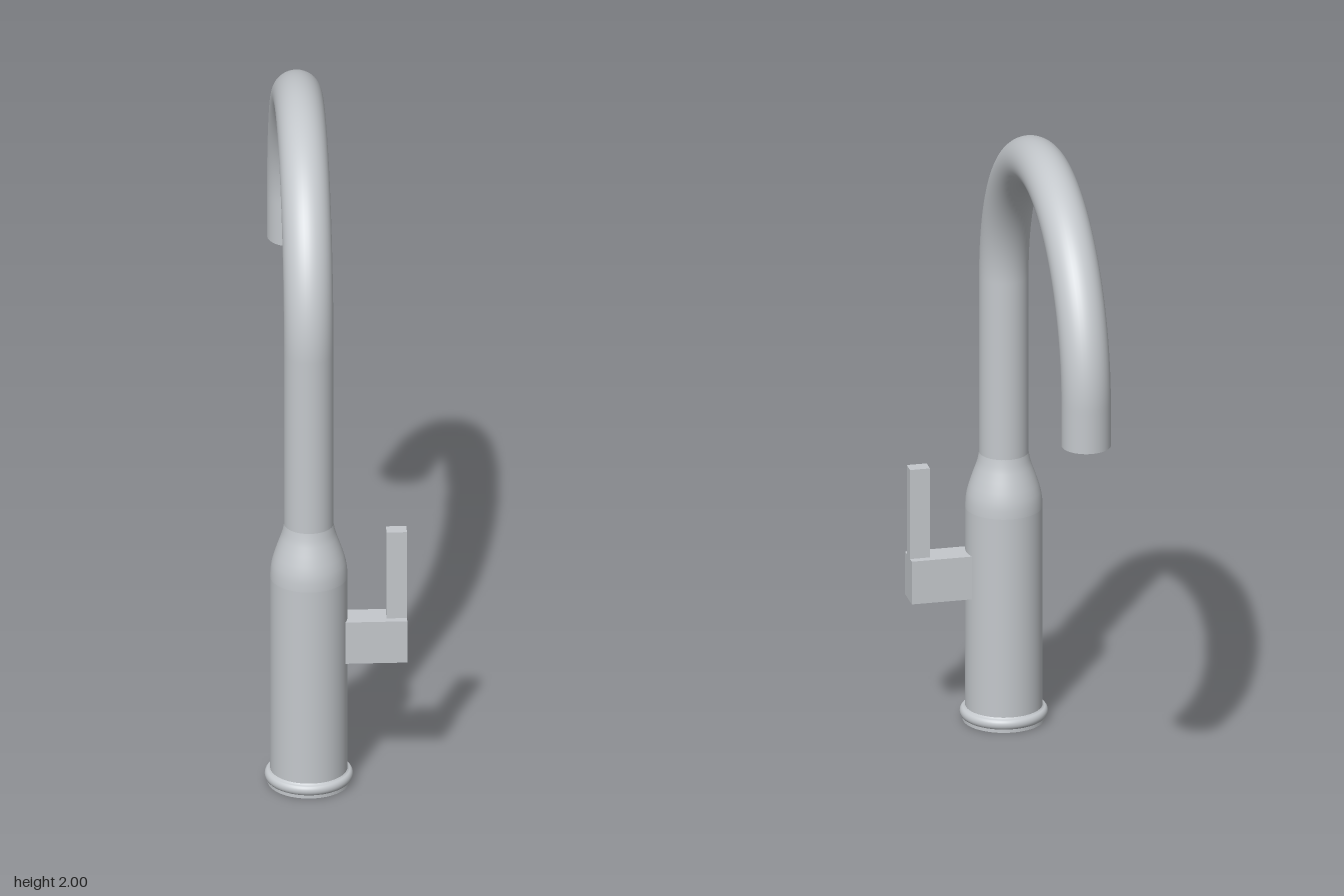
import * as THREE from 'three';

const X = -0.081, Z = 0.502;        // axis of the body
const R = 0.073;                    // spout tube radius
const BEND = 0.53, BEND_Y = 1.397;  // spout bend
const TIP_Y = 1.265, START_Y = 0.8;

// Riser, half-circle bend and short drop, parameterised by length
class SpoutCurve extends THREE.Curve {
  getPoint(t, target = new THREE.Vector3()) {
    const rise = BEND_Y - START_Y, arc = Math.PI * BEND, drop = BEND_Y - TIP_Y;
    const s = t * (rise + arc + drop);
    if (s < rise) return target.set(0, START_Y + s, 0);
    if (s < rise + arc) {
      const a = (s - rise) / BEND;
      return target.set(0, BEND_Y + BEND * Math.sin(a), -BEND + BEND * Math.cos(a));
    }
    return target.set(0, BEND_Y - (s - rise - arc), -2 * BEND);
  }
}

export function createModel() {
  const metal = new THREE.MeshStandardMaterial({ color: 0xc4c8cc });
  metal.name = 'brushedMetal';
  const dark = new THREE.MeshStandardMaterial({ color: 0x2a2c2e });
  dark.name = 'darkAerator';

  const group = new THREE.Group();
  group.name = 'faucet';
  const add = (name, geometry, material, x, y, z) => {
    const mesh = new THREE.Mesh(geometry, material);
    mesh.name = name;
    mesh.position.set(x, y, z);
    group.add(mesh);
    return mesh;
  };
  const lathe = (pts) => new THREE.LatheGeometry(pts.map(([r, y]) => new THREE.Vector2(r, y)), 64);

  // Base: thin foot and rounded flange
  add('foot', new THREE.CylinderGeometry(0.122, 0.122, 0.012, 64), metal, X, 0.006, Z);
  const flange = [[0.115, 0.008], [0.122, 0.008]];
  for (let i = 0; i <= 10; i++) {
    const a = -Math.PI / 2 + (Math.PI * i) / 10;
    flange.push([0.117 + 0.013 * Math.cos(a), 0.025 + 0.016 * Math.sin(a)]);
  }
  flange.push([0.113, 0.046]);
  add('baseFlange', lathe(flange), metal, X, 0, Z);

  // Body with a shoulder that narrows to the spout
  add('body', lathe([[0.114, 0.03], [0.114, 0.35], [0.114, 0.67]]), metal, X, 0, Z);
  add('shoulder', lathe([
    [0.114, 0.67], [0.113, 0.695], [0.109, 0.72], [0.102, 0.745],
    [0.092, 0.775], [0.083, 0.8], [0.077, 0.82], [R, 0.842],
  ]), metal, X, 0, Z);

  // Gooseneck spout
  add('spout', new THREE.TubeGeometry(new SpoutCurve(), 140, R, 40), metal, X, 0, Z);

  // Outlet: rim, inner wall and recessed aerator
  const tipZ = Z - 2 * BEND;
  add('outletRim', new THREE.RingGeometry(0.064, R, 40), metal, X, TIP_Y, tipZ).rotation.x = Math.PI / 2;
  add('outletWall', lathe([[0.064, 0.04], [0.064, 0]]), metal, X, TIP_Y, tipZ);
  add('aerator', new THREE.CircleGeometry(0.064, 40), dark, X, TIP_Y + 0.04, tipZ).rotation.x = Math.PI / 2;

  // Side handle: square stem and upright lever
  add('handleStem', new THREE.BoxGeometry(0.187, 0.135, 0.086), metal, 0.1135, 0.4675, Z);
  add('handleLever', new THREE.BoxGeometry(0.06, 0.282, 0.042), metal, 0.177, 0.675, Z);

  return group;
}
